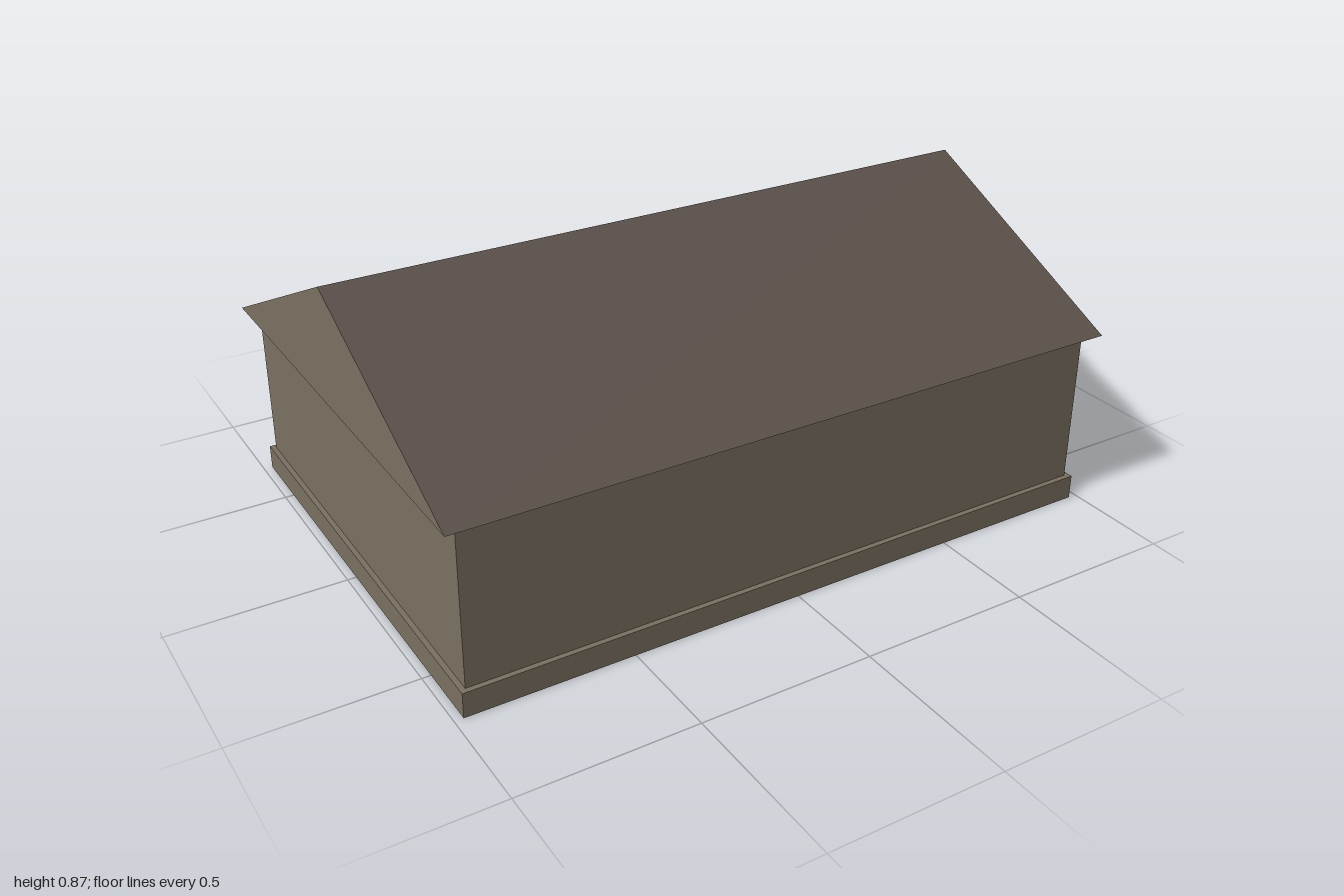
import * as THREE from 'three';

const wallMat = new THREE.MeshStandardMaterial({ color: 0x7a7061, side: THREE.DoubleSide });
wallMat.name = 'wall taupe';
const roofMat = new THREE.MeshStandardMaterial({ color: 0x5b514b, side: THREE.DoubleSide });
roofMat.name = 'roof brown';

// Half sizes in x and z, and the key heights
const WALL = [0.96, 0.677];
const PLINTH = [0.975, 0.692];
const ROOF = [1, 0.714];
const PLINTH_TOP = 0.072, EAVE = 0.53, RIDGE = 0.866;

function addMesh(parent, name, geometry, material) {
  const mesh = new THREE.Mesh(geometry, material);
  mesh.name = name;
  parent.add(mesh);
  return mesh;
}

// Flat polygon fanned from its first corner
function polygon(...corners) {
  const points = [];
  for (let i = 1; i < corners.length - 1; i++) {
    points.push(...corners[0], ...corners[i], ...corners[i + 1]);
  }
  const g = new THREE.BufferGeometry();
  g.setAttribute('position', new THREE.Float32BufferAttribute(points, 3));
  g.computeVertexNormals();
  return g;
}

// Four upright sides without top or bottom
function addSides(parent, name, [x, z], y0, y1) {
  const ring = [[-x, z], [x, z], [x, -z], [-x, -z]];
  ring.forEach(([ax, az], i) => {
    const [bx, bz] = ring[(i + 1) % 4];
    addMesh(parent, name, polygon([ax, y0, az], [bx, y0, bz], [bx, y1, bz], [ax, y1, az]), wallMat);
  });
}

// Level rectangular frame between an outer and an inner outline
function frame([ox, oz], [ix, iz], y, up) {
  const rect = (path, x, z) => path.moveTo(-x, -z).lineTo(x, -z).lineTo(x, z).lineTo(-x, z).closePath();
  const shape = rect(new THREE.Shape(), ox, oz);
  shape.holes.push(rect(new THREE.Path(), ix, iz));
  return new THREE.ShapeGeometry(shape).rotateX(up ? -Math.PI / 2 : Math.PI / 2).translate(0, y, 0);
}

export function createModel() {
  const model = new THREE.Group();
  model.name = 'gabledHouse';

  // Hollow body, open underneath
  const body = new THREE.Group();
  body.name = 'walls';
  addSides(body, 'wall', WALL, 0, EAVE);

  // Projecting base course
  const plinth = new THREE.Group();
  plinth.name = 'plinth';
  addSides(plinth, 'plinthSide', PLINTH, 0, PLINTH_TOP);
  addMesh(plinth, 'plinthLedge', frame(PLINTH, WALL, PLINTH_TOP, true), wallMat);
  addMesh(plinth, 'plinthUnderside', frame(PLINTH, WALL, 0, false), wallMat);

  // Two slopes, two gable ends and the soffit under the overhang
  const roof = new THREE.Group();
  roof.name = 'roof';
  const [rx, rz] = ROOF;
  for (const s of [1, -1]) {
    addMesh(roof, s > 0 ? 'frontSlope' : 'backSlope', polygon(
      [-s * rx, EAVE, s * rz], [s * rx, EAVE, s * rz], [s * rx, RIDGE, 0], [-s * rx, RIDGE, 0]), roofMat);
    addMesh(roof, s > 0 ? 'leftGable' : 'rightGable', polygon(
      [s * rx, EAVE, s * rz], [s * rx, EAVE, -s * rz], [s * rx, RIDGE, 0]), wallMat);
  }
  addMesh(roof, 'soffit', frame(ROOF, WALL, EAVE, false), roofMat);

  model.add(body, plinth, roof);
  return model;
}
